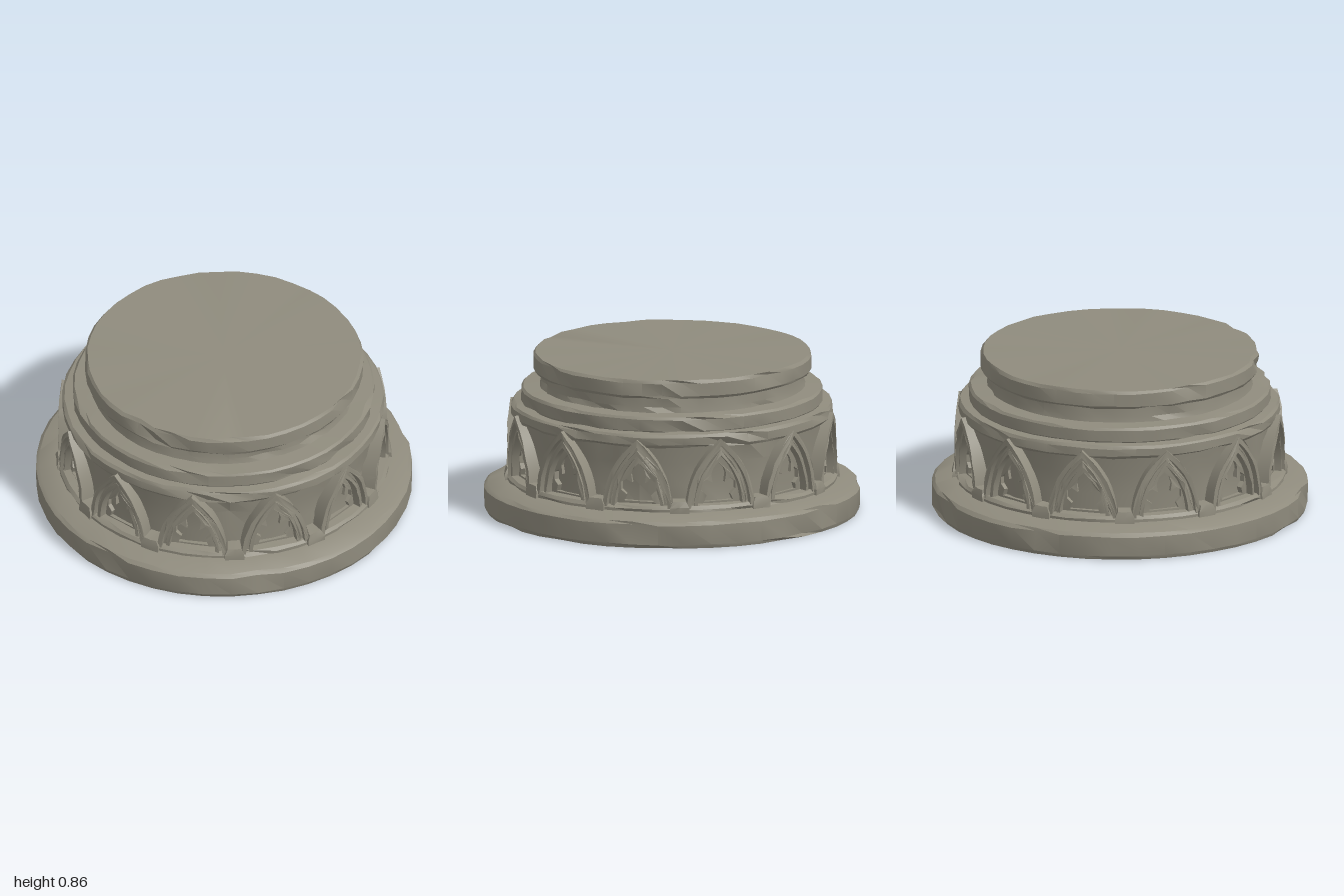
import * as THREE from 'three';
import { toCreasedNormals } from 'three/addons/utils/BufferGeometryUtils.js';

const stone = new THREE.MeshStandardMaterial({ color: 0x8f8b7d });
stone.name = 'weathered stone';

const ARCHES = 12;
const SEGMENTS = 44;

// repeatable value in 0..1 for a pair of numbers
function hash(a, b) {
  const s = Math.sin(a * 127.1 + b * 311.7) * 43758.5453;
  return s - Math.floor(s);
}

function addMesh(parent, name, geometry) {
  const mesh = new THREE.Mesh(toCreasedNormals(geometry, 0.45), stone);
  mesh.name = name;
  parent.add(mesh);
  return mesh;
}

// turned ring of stone: profile is [radius, y] from bottom to top, with worn, chipped edges
function wornRing(parent, name, profile, seed, wear = 0.008) {
  const points = profile.map(([r, y]) => new THREE.Vector2(r, y));
  const geo = new THREE.LatheGeometry(points, SEGMENTS);
  const pos = geo.attributes.position;
  const rows = profile.length;
  const widest = Math.max(...profile.map(p => p[0]));
  for (let i = 0; i < pos.count; i++) {
    const row = i % rows;
    const seg = Math.floor(i / rows) % SEGMENTS;
    const [r, y] = profile[row];
    if (r < widest - 0.04) continue;
    const a = (seg / SEGMENTS) * Math.PI * 2;
    const chip = hash(seg + seed, row) > 0.93 ? 0.018 : 0;
    const wave = 0.5 + 0.25 * Math.sin(3 * a + seed) + 0.25 * Math.sin(7 * a + seed * 2);
    const nr = r - wear * (0.6 * wave + 0.6 * hash(seg, row + seed)) - chip;
    const ny = y === 0 ? 0 : y + (hash(seg * 3 + seed, row) - 0.5) * wear * 0.6;
    pos.setXYZ(i, Math.sin(a) * nr, ny, Math.cos(a) * nr);
  }
  return addMesh(parent, name, geo);
}

// wraps a flat geometry (x across, z depth) around the drum
function bend(geo, innerRadius, seed = 0) {
  const pos = geo.attributes.position;
  for (let i = 0; i < pos.count; i++) {
    const x = pos.getX(i), y = pos.getY(i), z = pos.getZ(i);
    const k = Math.round(x * 500) + Math.round(y * 500) * 3;
    const r = innerRadius + z - (z > 0 ? 0.008 * hash(k, seed) : 0);
    const a = x / 0.86;
    pos.setXYZ(i, Math.sin(a) * r, y + (hash(k, seed + 5) - 0.5) * 0.004, Math.cos(a) * r);
  }
  return geo;
}

// pointed arch outline from the right foot over the apex to the left foot
function archPoints(w, top, foot = 0.19) {
  const right = new THREE.QuadraticBezierCurve(
    new THREE.Vector2(w, foot),
    new THREE.Vector2(w * 0.93, foot + (top - foot) * 0.6),
    new THREE.Vector2(0, top)
  ).getPoints(8);
  const left = right.slice(0, -1).reverse().map(p => new THREE.Vector2(-p.x, p.y));
  return right.concat(left);
}

function extrude(shape, depth) {
  return new THREE.ExtrudeGeometry(shape, { depth, bevelEnabled: false, curveSegments: 6 });
}

// arched moulding between two pointed outlines
function moulding(wOut, topOut, wIn, topIn, depth) {
  return extrude(new THREE.Shape(archPoints(wOut, topOut).concat(archPoints(wIn, topIn).reverse())), depth);
}

// tracery panel pierced by a trefoil
function traceryPanel() {
  const shape = new THREE.Shape(archPoints(0.128, 0.475));
  const half = [
    [0.085, 0.215], [0.07, 0.25], [0.1, 0.275], [0.1, 0.315], [0.07, 0.335],
    [0.036, 0.315], [0.043, 0.36], [0.03, 0.395], [0, 0.425]
  ].map(([x, y]) => new THREE.Vector2(x, y));
  const mirrored = half.slice(0, -1).reverse().map(p => new THREE.Vector2(-p.x, p.y));
  shape.holes.push(new THREE.Path(half.concat(mirrored)));
  return extrude(shape, 0.032);
}

export function createModel() {
  const model = new THREE.Group();
  model.name = 'roundPedestal';

  // stacked rings from the floor up
  wornRing(model, 'basePlinth', [[0, 0], [0.995, 0], [1.004, 0.02], [1.004, 0.125], [0.985, 0.142], [0.88, 0.17], [0.8, 0.172]], 1);
  wornRing(model, 'drumSill', [[0.84, 0.15], [0.885, 0.16], [0.885, 0.185], [0.87, 0.2], [0.79, 0.207]], 2, 0.01);
  wornRing(model, 'drumWall', [[0.805, 0.19], [0.805, 0.3], [0.815, 0.42], [0.835, 0.53]], 3, 0.006);
  wornRing(model, 'upperBand', [[0.8, 0.512], [0.85, 0.515], [0.862, 0.53], [0.862, 0.57], [0.85, 0.585], [0.76, 0.592]], 4, 0.012);
  wornRing(model, 'upperStep', [[0.79, 0.57], [0.806, 0.595], [0.806, 0.655], [0.795, 0.668], [0.68, 0.674]], 5);
  wornRing(model, 'neck', [[0.715, 0.66], [0.705, 0.7], [0.705, 0.77]], 6, 0.01);
  wornRing(model, 'topSlab', [[0.68, 0.75], [0.735, 0.755], [0.745, 0.77], [0.745, 0.838], [0.733, 0.854], [0, 0.856]], 7, 0.01);

  // blind arcade around the drum
  const arcade = new THREE.Group();
  arcade.name = 'arcade';
  model.add(arcade);
  for (let i = 0; i < ARCHES; i++) {
    const bay = new THREE.Group();
    bay.name = 'archBay';
    bay.rotation.y = (i / ARCHES) * Math.PI * 2;
    arcade.add(bay);
    addMesh(bay, 'outerArch', bend(moulding(0.188, 0.558, 0.164, 0.522, 0.085), 0.795, i));
    addMesh(bay, 'innerArch', bend(moulding(0.166, 0.525, 0.146, 0.498, 0.058), 0.795, i + 20));
    addMesh(bay, 'innermostArch', bend(moulding(0.146, 0.499, 0.126, 0.47, 0.07), 0.795, i + 40));
    addMesh(bay, 'tracery', bend(traceryPanel(), 0.795, i + 60));

    // worn springer block between neighbouring arches
    const block = new THREE.BoxGeometry(0.1, 0.065, 0.09, 2, 2, 1);
    const pos = block.attributes.position;
    for (let v = 0; v < pos.count; v++) {
      const taper = pos.getY(v) > 0.02 ? 0.7 : 1;
      pos.setXYZ(v, pos.getX(v) * taper, pos.getY(v) + 0.197, pos.getZ(v) + 0.045 - (taper < 1 ? 0.012 : 0));
    }
    const springer = addMesh(bay, 'springerBlock', bend(block, 0.805, i + 80));
    springer.rotation.y = Math.PI / ARCHES;
  }
  return model;
}
